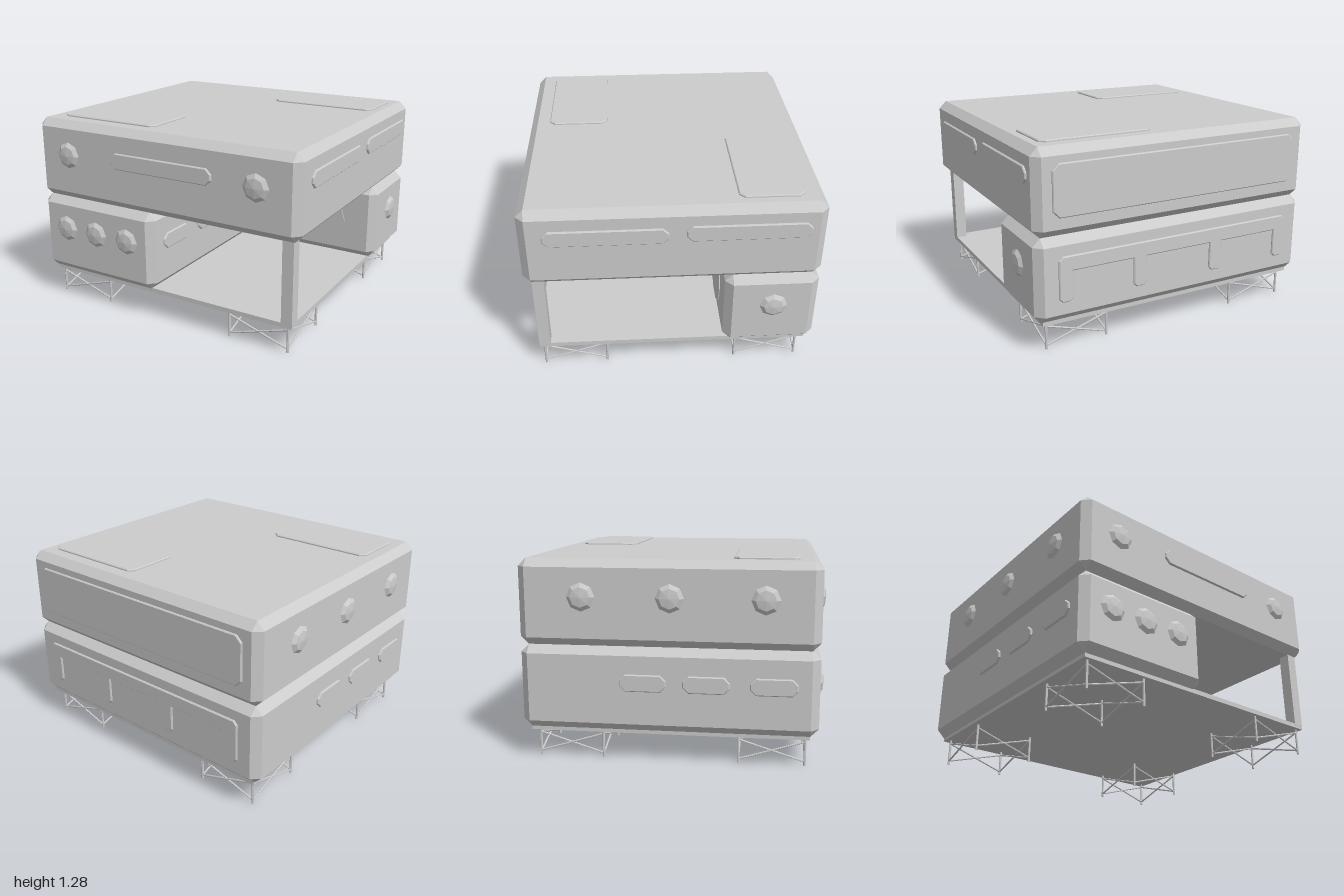
import * as THREE from 'three';
import { ConvexGeometry } from 'three/addons/geometries/ConvexGeometry.js';

const material = new THREE.MeshStandardMaterial({ color: 0xcccccc, flatShading: true });

// Box with all edges chamfered, given its min and max corners
function chamferBox(min, max, c = 0.05) {
  const points = [];
  for (let i = 0; i < 8; i++) {
    const side = [i & 1, (i >> 1) & 1, (i >> 2) & 1];
    for (let face = 0; face < 3; face++) {
      // one point per face at each corner: inset along the other two axes
      const p = side.map((s, a) => {
        const inset = a === face ? 0 : c;
        return s ? max[a] - inset : min[a] + inset;
      });
      points.push(new THREE.Vector3(...p));
    }
  }
  return new ConvexGeometry(points);
}

// Rectangle with cut corners
function cutRect(w, h, c) {
  const x = w / 2, y = h / 2;
  return [[-x + c, -y], [x - c, -y], [x, -y + c], [x, y - c],
    [x - c, y], [-x + c, y], [-x, y - c], [-x, -y + c]];
}

// Thin raised plate with a small bevel, rising along +z
function raised(outline, rise = 0.013) {
  const bevel = 0.006;
  const shape = new THREE.Shape(outline.map(([x, y]) => new THREE.Vector2(x, y)));
  return new THREE.ExtrudeGeometry(shape, {
    depth: rise - bevel, bevelThickness: bevel, bevelSize: bevel,
    bevelOffset: -bevel, bevelSegments: 1,
  });
}

// Low faceted dome, bulging along +z
function dome() {
  return new THREE.SphereGeometry(0.088, 8, 2, 0, Math.PI * 2, 0, Math.PI / 2)
    .rotateX(Math.PI / 2).scale(1, 1, 0.31);
}

export function createModel() {
  const model = new THREE.Group();

  function add(name, geometry, position = [0, 0, 0], rotation = [0, 0, 0], parent = model) {
    const mesh = new THREE.Mesh(geometry, material);
    mesh.name = name;
    mesh.position.set(...position);
    mesh.rotation.set(...rotation);
    parent.add(mesh);
    return mesh;
  }

  const X = 0.975, FRONT = 0.91, BACK = -0.928, TOP = 1.263;
  const toLeft = [0, Math.PI / 2, 0], toRight = [0, -Math.PI / 2, 0];
  const toBack = [0, Math.PI, 0], toTop = [-Math.PI / 2, 0, 0];

  // Storeys: a full upper block over an L-shaped lower one
  add('upperStorey', chamferBox([-X, 0.73, BACK], [X, TOP, FRONT]));
  add('lowerSideWing', chamferBox([-X, 0.2, BACK], [-0.055, 0.73, FRONT]));
  add('lowerBackWing', chamferBox([-0.2, 0.2, BACK], [X, 0.73, -0.335]));
  add('baseSlab', new THREE.BoxGeometry(1.84, 0.03, 1.74), [0, 0.19, -0.01]);
  add('cornerPost', new THREE.BoxGeometry(0.074, 0.54, 0.074), [0.885, 0.465, 0.825]);

  // Roof panels
  const roofPanel = raised(cutRect(0.745, 0.395, 0.035));
  add('roofPanel', roofPanel, [-0.485, TOP, 0.578], toTop);
  add('roofPanel', roofPanel, [0.502, TOP, -0.6], toTop);

  // Dome windows
  const bubble = dome();
  for (const x of [-0.71, 0.695]) add('domeWindow', bubble, [x, 1.035, FRONT]);
  for (const x of [-0.765, -0.515, -0.26]) add('domeWindow', bubble, [x, 0.515, FRONT]);
  for (const z of [-0.53, 0.01, 0.58]) add('domeWindow', bubble, [-X, 1.035, z], toRight);
  add('domeWindow', bubble, [X, 0.51, -0.645], toLeft);

  // Long slot windows of the upper storey
  const longSlot = raised(cutRect(0.748, 0.106, 0.035));
  add('longWindow', longSlot, [0.025, 1.05, FRONT]);
  add('longWindow', longSlot, [X, 1.083, 0.393], toLeft);
  add('longWindow', longSlot, [X, 1.092, -0.46], toLeft);

  // Short slot windows on both sides of the side wing
  const shortSlot = raised(cutRect(0.287, 0.106, 0.035));
  for (const z of [0.638, 0.23, -0.158]) {
    add('shortWindow', shortSlot, [-0.055, 0.513, z], toLeft);
    add('shortWindow', shortSlot, [-X, 0.513, z], toRight);
  }

  // Round door on the back wing
  add('roundDoor', new THREE.CylinderGeometry(0.203, 0.203, 0.01, 10),
    [0.55, 0.463, -0.332], [Math.PI / 2, Math.PI / 2, 0]);

  // Back panels: a wide one above, a comb-shaped one below
  add('backPanel', raised(cutRect(1.73, 0.32, 0.04)), [0, 1.01, BACK], toBack);
  const comb = [[0.81, 0.615], [-0.81, 0.615], [-0.835, 0.59]];
  for (const u of [-0.79, -0.29, 0.27, 0.79]) {
    const w = 0.045;
    if (u > -0.7) comb.push([u - w, 0.52]);
    comb.push([u - w, 0.35], [u - w + 0.02, 0.33], [u + w - 0.02, 0.33], [u + w, 0.35]);
    if (u < 0.7) comb.push([u + w, 0.52]);
  }
  comb.push([0.835, 0.59]);
  add('combPanel', raised(comb), [0, 0, BACK], toBack);

  // Feet: four posts joined by crossed braces
  function rod(name, a, b, radius, parent) {
    const from = new THREE.Vector3(...a), to = new THREE.Vector3(...b);
    const dir = to.clone().sub(from);
    const mesh = add(name, new THREE.CylinderGeometry(radius, radius, dir.length(), 6),
      from.clone().add(to).multiplyScalar(0.5).toArray(), [0, 0, 0], parent);
    mesh.quaternion.setFromUnitVectors(new THREE.Vector3(0, 1, 0), dir.normalize());
  }
  const h = 0.204;
  const corners = [[-h, -h], [h, -h], [h, h], [-h, h]];
  for (const x of [-0.68, 0.68]) for (const z of [-0.632, 0.628]) {
    const foot = new THREE.Group();
    foot.name = 'foot';
    foot.position.set(x, 0, z);
    corners.forEach(([ax, az], i) => {
      const [bx, bz] = corners[(i + 1) % 4];
      rod('footPost', [ax, 0, az], [ax, 0.18, az], 0.008, foot);
      rod('footBrace', [ax, 0.152, az], [bx, 0.025, bz], 0.006, foot);
      rod('footBrace', [ax, 0.025, az], [bx, 0.152, bz], 0.006, foot);
    });
    model.add(foot);
  }

  return model;
}
